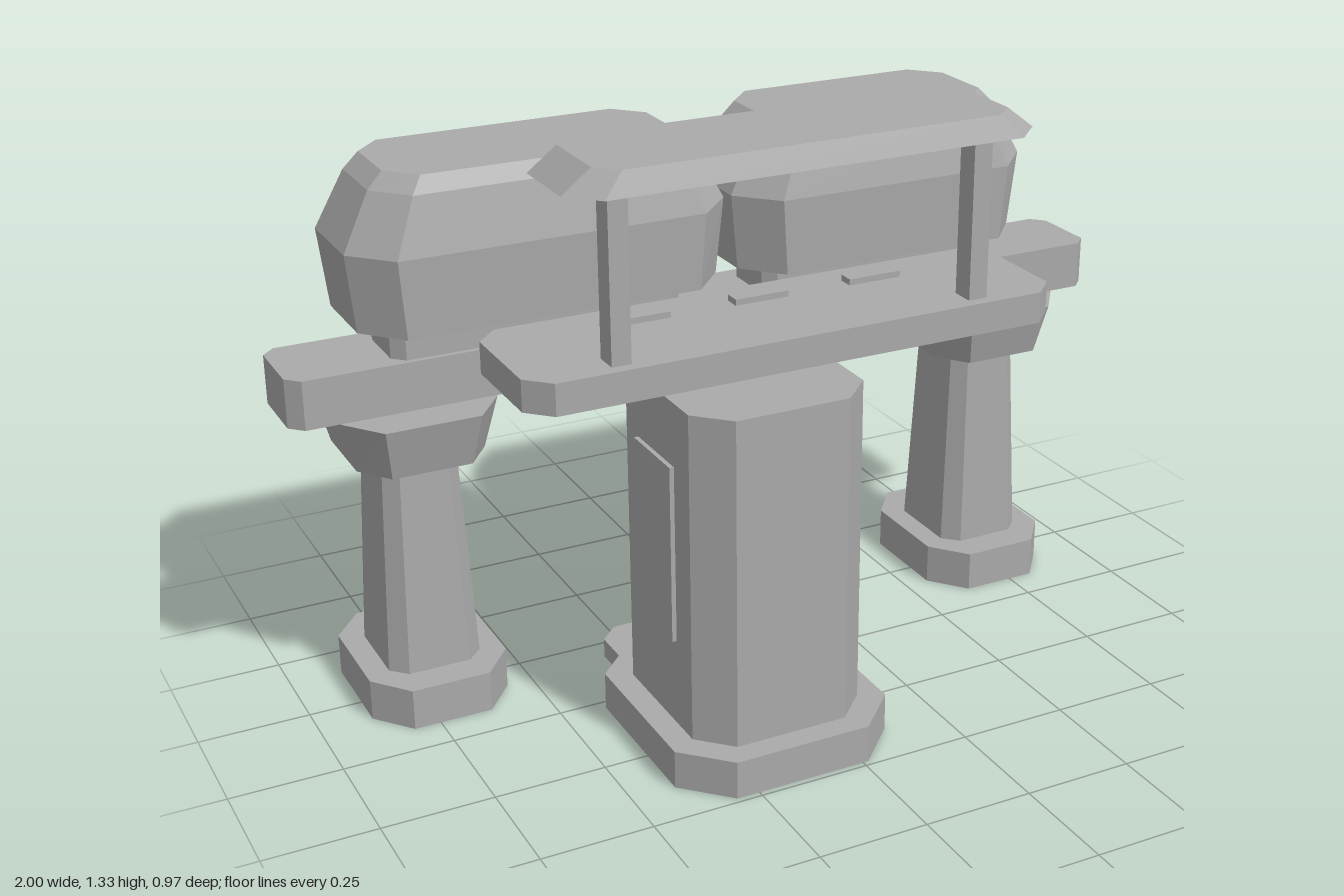
import * as THREE from 'three';

const stone = new THREE.MeshStandardMaterial({ color: 0xaaaaaa });
stone.name = 'grey';

// Stack of chamfered rectangles; each ring is [y, x0, x1, z0, z1, chamferX, chamferZ]
function octagonLoft(rings) {
  const loops = rings.map(([y, x0, x1, z0, z1, cx, cz = cx]) => [
    [x1, z0 + cz], [x1 - cx, z0], [x0 + cx, z0], [x0, z0 + cz],
    [x0, z1 - cz], [x0 + cx, z1], [x1 - cx, z1], [x1, z1 - cz],
  ].map(([x, z]) => [x, y, z]));
  const pos = [];
  const tri = (a, b, c) => pos.push(...a, ...b, ...c);
  for (let k = 0; k < loops.length - 1; k++) {
    const lo = loops[k], hi = loops[k + 1];
    for (let i = 0; i < 8; i++) {
      const j = (i + 1) % 8;
      tri(lo[i], lo[j], hi[j]);
      tri(lo[i], hi[j], hi[i]);
    }
  }
  const bottom = loops[0], top = loops[loops.length - 1];
  for (let i = 1; i < 7; i++) {
    tri(bottom[0], bottom[i + 1], bottom[i]);
    tri(top[0], top[i], top[i + 1]);
  }
  const g = new THREE.BufferGeometry();
  g.setAttribute('position', new THREE.Float32BufferAttribute(pos, 3));
  g.computeVertexNormals();
  return g;
}

function add(parent, name, geometry) {
  const mesh = new THREE.Mesh(geometry, stone);
  mesh.name = name;
  parent.add(mesh);
  return mesh;
}

// Chamfered slab with straight sides
const slab = (y0, y1, ...r) => octagonLoft([[y0, ...r], [y1, ...r]]);

function box(parent, name, x0, x1, y0, y1, z0, z1) {
  const mesh = add(parent, name, new THREE.BoxGeometry(x1 - x0, y1 - y0, z1 - z0));
  mesh.position.set((x0 + x1) / 2, (y0 + y1) / 2, (z0 + z1) / 2);
  return mesh;
}

const outline = (points) => points.map(([x, y]) => new THREE.Vector2(x, y));

// Plate extruded backwards (towards -z) from zFront to zBack
function backPlate(parent, name, x, zFront, zBack, points, hole) {
  const shape = new THREE.Shape(outline(points));
  if (hole) shape.holes.push(new THREE.Path(outline(hole)));
  const g = new THREE.ExtrudeGeometry(shape, { depth: zFront - zBack, bevelEnabled: false });
  const mesh = add(parent, name, g);
  mesh.position.set(x, 0, zBack);
  return mesh;
}

function buildPillar(x) {
  const pillar = new THREE.Group();
  pillar.name = 'pillar';
  add(pillar, 'pillarBase', slab(0, 0.095, -0.16, 0.16, -0.487, -0.085, 0.07, 0.085));
  add(pillar, 'pillarShaft', octagonLoft([
    [0.095, -0.107, 0.107, -0.41, -0.16, 0.036],
    [0.592, -0.085, 0.085, -0.39, -0.183, 0.03],
  ]));
  add(pillar, 'pillarCapital', octagonLoft([
    [0.592, -0.145, 0.145, -0.453, -0.12, 0.055, 0.075],
    [0.712, -0.175, 0.175, -0.483, -0.09, 0.068, 0.09],
  ]));
  pillar.position.x = x;
  return pillar;
}

function buildTank(x0, x1, ribCentre, ribGap) {
  const tank = new THREE.Group();
  tank.name = 'tank';
  add(tank, 'plinth', slab(0.82, 0.905, x0 + 0.095, x1 - 0.095, -0.375, -0.195, 0.027));
  add(tank, 'tankBody', octagonLoft([
    [0.905, x0 + 0.018, x1 - 0.018, -0.467, -0.1, 0.08, 0.09],
    [1.08, x0, x1, -0.475, -0.094, 0.085, 0.09],
    [1.205, x0 + 0.065, x1 - 0.065, -0.45, -0.122, 0.07, 0.08],
    [1.24, x0 + 0.1, x1 - 0.1, -0.432, -0.144, 0.06, 0.065],
  ]));
  // Small tapered ribs along the back
  for (let i = -1; i <= 1; i++) {
    backPlate(tank, 'backRib', ribCentre + i * ribGap, -0.44, -0.48,
      [[-0.011, 1.082], [0.011, 1.082], [0.019, 1.178], [-0.019, 1.178]]);
  }
  return tank;
}

function buildTower() {
  const tower = new THREE.Group();
  tower.name = 'tower';
  const cx = -0.145;
  add(tower, 'towerBase', slab(0, 0.087, -0.4, 0.11, -0.073, 0.487, 0.098));
  add(tower, 'towerShaft', slab(0.087, 0.832, -0.345, 0.055, -0.015, 0.432, 0.071));
  for (const s of [-1, 1]) {
    const face = cx + s * 0.2;
    box(tower, 'sidePanel', face - 0.01, face + 0.01, 0.288, 0.69, 0.115, 0.29);
  }
  // Door side
  add(tower, 'doorStep', slab(0, 0.045, -0.31, 0.022, -0.235, -0.05, 0.045));
  backPlate(tower, 'doorFrame', cx, -0.01, -0.06,
    [[-0.12, 0.09], [0.12, 0.09], [0.12, 0.36], [0.06, 0.462], [-0.06, 0.462], [-0.12, 0.36]],
    [[-0.088, 0.092], [-0.088, 0.31], [-0.05, 0.38], [0, 0.42], [0.05, 0.38], [0.088, 0.31], [0.088, 0.092]]);
  box(tower, 'door', cx - 0.1, cx + 0.1, 0.09, 0.425, -0.05, -0.01);
  for (const s of [-1, 1]) {
    box(tower, 'doorHandle', cx + s * 0.028 - 0.008, cx + s * 0.028 + 0.008, 0.185, 0.23, -0.07, -0.045);
  }
  backPlate(tower, 'keystone', cx, -0.05, -0.07,
    [[-0.016, 0.39], [0.016, 0.39], [0.026, 0.458], [-0.026, 0.458]]);
  const disc = add(tower, 'roundWindow', new THREE.CylinderGeometry(0.085, 0.085, 0.03, 20));
  disc.rotation.x = Math.PI / 2;
  disc.position.set(cx, 0.625, -0.026);
  return tower;
}

function buildPlatform() {
  const platform = new THREE.Group();
  platform.name = 'platform';
  add(platform, 'platformDeck', slab(0.832, 0.903, -0.632, 0.615, -0.085, 0.25, 0.052));
  for (const x of [-0.285, -0.003, 0.278]) {
    box(platform, 'deckPlate', x - 0.064, x + 0.064, 0.9, 0.917, -0.018, 0.02);
  }
  for (const x of [-0.425, 0.418]) {
    box(platform, 'canopyPost', x - 0.022, x + 0.022, 0.9, 1.28, 0.168, 0.223);
  }
  add(platform, 'canopy', octagonLoft([
    [1.275, -0.545, 0.535, -0.013, 0.293, 0.065],
    [1.325, -0.48, 0.47, 0.008, 0.272, 0.045],
  ]));
  return platform;
}

export function createModel() {
  const model = new THREE.Group();
  model.name = 'station';
  add(model, 'beam', slab(0.712, 0.823, -1, 1, -0.395, -0.182, 0.03));
  model.add(buildPillar(-0.72), buildPillar(0.72));
  model.add(buildTank(-0.86, 0.006, -0.455, 0.22), buildTank(0.025, 0.78, 0.4, 0.175));
  model.add(buildTower(), buildPlatform());
  return model;
}
